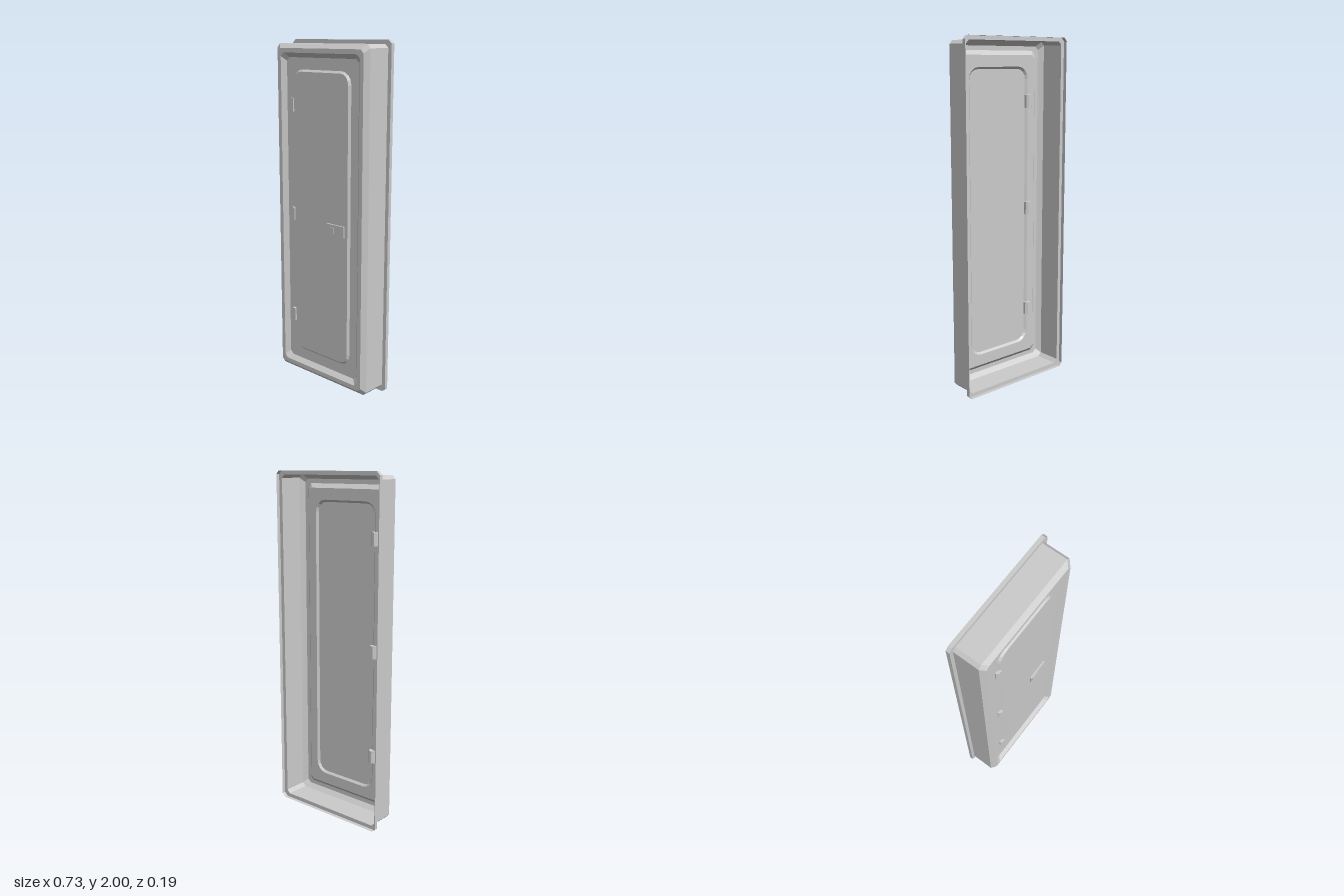
import * as THREE from 'three';

const material = new THREE.MeshStandardMaterial({ color: 0xcccccc, flatShading: true, side: THREE.DoubleSide });
const MID = 1; // height of the door's centre

// Counter-clockwise rectangle outline with cut (steps = 1) or rounded corners
function outline(halfW, halfH, corner, steps = 1) {
  const points = [];
  [[1, 1], [-1, 1], [-1, -1], [1, -1]].forEach(([sx, sy], q) => {
    for (let i = 0; i <= steps; i++) {
      const a = (q + i / steps) * Math.PI / 2;
      points.push(new THREE.Vector2(
        sx * (halfW - corner) + Math.cos(a) * corner,
        MID + sy * (halfH - corner) + Math.sin(a) * corner));
    }
  });
  return points;
}

// Skin a list of { points, z } outlines, back to front
function loft(sections) {
  const pos = [];
  for (let s = 0; s < sections.length - 1; s++) {
    const A = sections[s], B = sections[s + 1], n = A.points.length;
    for (let i = 0; i < n; i++) {
      const j = (i + 1) % n;
      const a = [A.points[i].x, A.points[i].y, A.z], b = [A.points[j].x, A.points[j].y, A.z];
      const c = [B.points[j].x, B.points[j].y, B.z], d = [B.points[i].x, B.points[i].y, B.z];
      pos.push(...a, ...b, ...c, ...a, ...c, ...d);
    }
  }
  const g = new THREE.BufferGeometry();
  g.setAttribute('position', new THREE.Float32BufferAttribute(pos, 3));
  g.computeVertexNormals();
  return g;
}

function flat(points, z, hole) {
  const shape = new THREE.Shape(points);
  if (hole) shape.holes.push(new THREE.Path(hole));
  return new THREE.ShapeGeometry(shape).translate(0, 0, z);
}

export function createModel() {
  const model = new THREE.Group();
  const add = (name, geometry, x = 0, y = 0, z = 0, parent = model) => {
    const mesh = new THREE.Mesh(geometry, material);
    mesh.name = name;
    mesh.position.set(x, y, z);
    parent.add(mesh);
    return mesh;
  };

  // Open-backed frame: flange, side wall, chamfer, front rim, inner bevel
  const section = (w, h, z) => ({ points: outline(w, h, 0.02), z });
  add('frame', loft([
    section(0.367, 1.0, -0.095),
    section(0.367, 1.0, -0.073),
    section(0.345, 0.978, -0.073),
    section(0.345, 0.978, 0.07),
    section(0.32, 0.953, 0.095),
    section(0.295, 0.928, 0.095),
    section(0.27, 0.903, 0.07),
  ]));

  // Door sheet with a raised, rounded centre panel
  const panelFoot = outline(0.217, 0.838, 0.07, 4);
  const panelTop = outline(0.205, 0.826, 0.058, 4);
  add('doorSheet', flat(outline(0.27, 0.903, 0.02), 0.07, panelFoot));
  add('panelEdge', loft([{ points: panelFoot, z: 0.07 }, { points: panelTop, z: 0.082 }]));
  add('panelFace', flat(panelTop, 0.082));

  // Octagonal hinge barrels, passing through the sheet
  const barrel = new THREE.CylinderGeometry(0.0217, 0.0217, 0.075, 8).rotateY(Math.PI / 8);
  [0.375, 1.005, 1.64].forEach((y) => add('hinge', barrel, -0.217, y, 0.067));

  // Latch plate with a small button
  const latch = new THREE.Group();
  latch.name = 'latch';
  model.add(latch);
  add('latchPlate', new THREE.BoxGeometry(0.13, 0.065, 0.01), 0.12, 0.963, 0.087, latch);
  add('latchButton', new THREE.BoxGeometry(0.045, 0.036, 0.004), 0.092, 0.963, 0.093, latch);

  return model;
}
